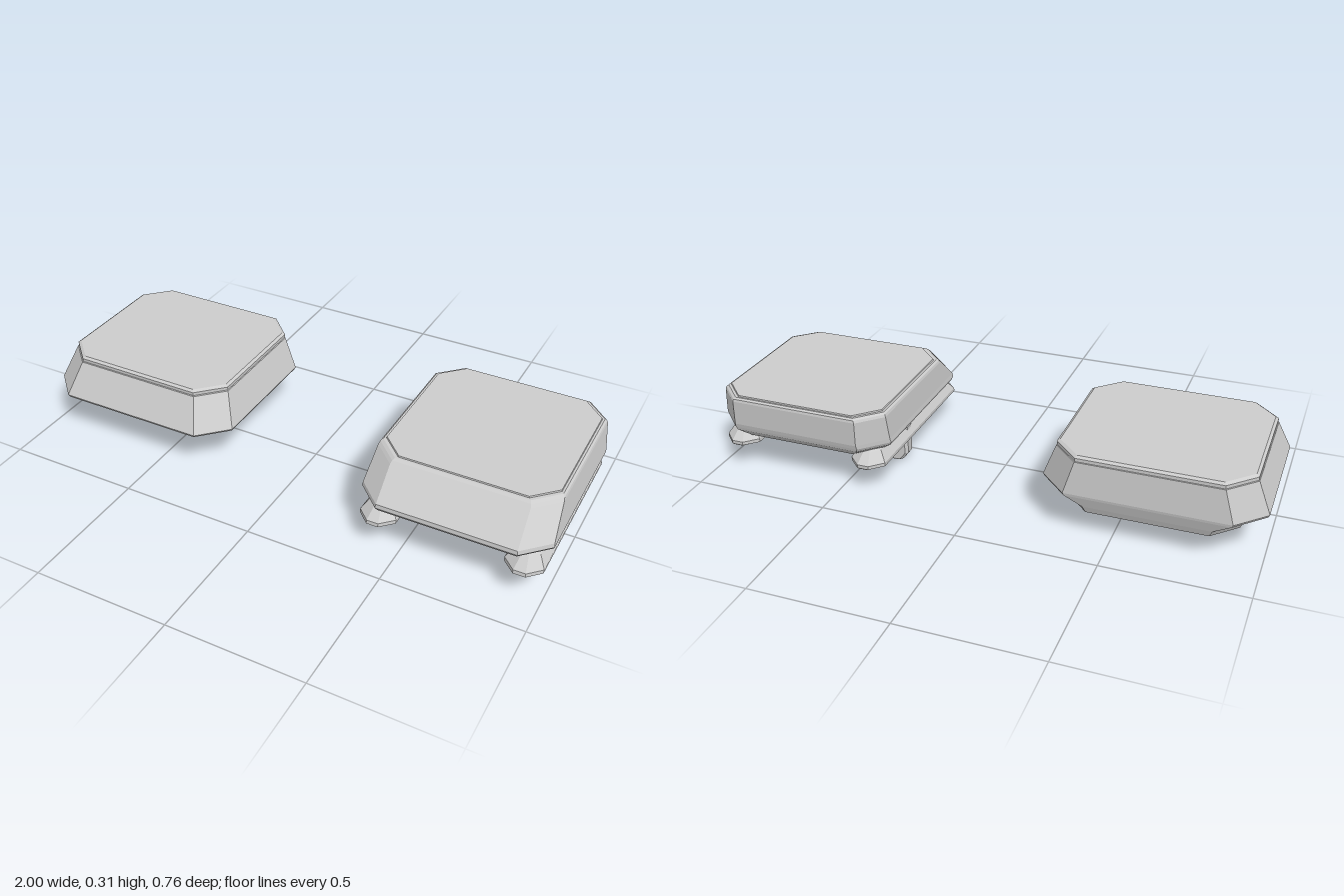
import * as THREE from 'three';

// Stacks chamfered-rectangle rings, listed bottom to top: [y, x0, x1, z0, z1, chamfer]
function loft(rings) {
  const pos = [];
  const pts = rings.map(([y, x0, x1, z0, z1, c]) => [
    [x1, z1 - c], [x1, z0 + c], [x1 - c, z0], [x0 + c, z0],
    [x0, z0 + c], [x0, z1 - c], [x0 + c, z1], [x1 - c, z1],
  ].map(([x, z]) => [x, y, z]));
  const tri = (a, b, c) => pos.push(...a, ...b, ...c);
  const last = rings.length - 1;
  const mid = (k) => [(rings[k][1] + rings[k][2]) / 2, rings[k][0], (rings[k][3] + rings[k][4]) / 2];
  for (let i = 0; i < 8; i++) {
    const j = (i + 1) % 8;
    for (let k = 0; k < last; k++) {
      tri(pts[k][i], pts[k][j], pts[k + 1][j]);
      tri(pts[k][i], pts[k + 1][j], pts[k + 1][i]);
    }
    tri(mid(0), pts[0][j], pts[0][i]);
    tri(mid(last), pts[last][i], pts[last][j]);
  }
  const g = new THREE.BufferGeometry();
  g.setAttribute('position', new THREE.Float32BufferAttribute(pos, 3));
  g.computeVertexNormals();
  return g;
}

export function createModel() {
  const model = new THREE.Group();
  const grey = new THREE.MeshStandardMaterial({ color: 0xcccccc });
  grey.name = 'light grey';
  const add = (parent, name, rings) => {
    const m = new THREE.Mesh(loft(rings), grey);
    m.name = name;
    parent.add(m);
  };

  // Plain pad: flared body, bevelled cap and a slim fin below
  const plain = new THREE.Group();
  plain.name = 'plainPad';
  model.add(plain);
  add(plain, 'plainBody', [
    [0.092, -0.91, -0.325, -0.345, 0.22, 0.085],
    [0.117, -0.92, -0.315, -0.355, 0.23, 0.085],
    [0.155, -0.995, -0.24, -0.368, 0.3, 0.1],
    [0.165, -1, -0.235, -0.37, 0.305, 0.1],
    [0.285, -0.955, -0.28, -0.362, 0.24, 0.09],
    [0.29, -0.94, -0.295, -0.35, 0.225, 0.085],
  ]);
  add(plain, 'plainCap', [
    [0.288, -0.953, -0.282, -0.362, 0.238, 0.09],
    [0.3, -0.953, -0.282, -0.362, 0.238, 0.09],
    [0.307, -0.943, -0.292, -0.352, 0.228, 0.085],
  ]);
  add(plain, 'plainFin', [
    [0.026, -0.8, -0.438, -0.083, -0.049, 0.008],
    [0.035, -0.815, -0.423, -0.088, -0.043, 0.012],
    [0.06, -0.835, -0.403, -0.088, -0.043, 0.012],
    [0.1, -0.835, -0.403, -0.088, -0.043, 0.012],
  ]);

  // Railed pad: sloped-front body, cap, two side rails and a cross bar
  const railed = new THREE.Group();
  railed.name = 'railedPad';
  model.add(railed);
  add(railed, 'railedBody', [
    [0.133, 0.385, 0.945, -0.33, 0.31, 0.075],
    [0.15, 0.36, 0.97, -0.348, 0.335, 0.08],
    [0.168, 0.335, 0.995, -0.366, 0.372, 0.09],
    [0.18, 0.33, 1, -0.37, 0.38, 0.09],
    [0.195, 0.332, 0.998, -0.374, 0.378, 0.09],
    [0.288, 0.338, 0.985, -0.379, 0.272, 0.082],
    [0.297, 0.341, 0.982, -0.377, 0.262, 0.082],
    [0.303, 0.348, 0.975, -0.37, 0.252, 0.08],
  ]);
  add(railed, 'railedCap', [
    [0.3, 0.355, 0.968, -0.365, 0.244, 0.08],
    [0.308, 0.357, 0.966, -0.363, 0.242, 0.08],
  ]);
  for (const side of [-1, 1]) {
    const x = 0.665 + side * 0.256;
    const ring = (y, w, z0, z1, c) => [y, x - w, x + w, z0, z1, c];
    add(railed, side < 0 ? 'rightRail' : 'leftRail', [
      ring(0.091, 0.058, -0.35, 0.366, 0.045),
      ring(0.097, 0.066, -0.357, 0.374, 0.045),
      ring(0.11, 0.066, -0.357, 0.372, 0.045),
      ring(0.147, 0.042, -0.32, 0.332, 0.03),
      ring(0.155, 0.03, -0.31, 0.322, 0.02),
    ]);
  }
  add(railed, 'crossBar', [
    [0, 0.385, 0.935, -0.1, -0.053, 0.008],
    [0.006, 0.375, 0.945, -0.103, -0.05, 0.01],
    [0.033, 0.355, 0.965, -0.103, -0.05, 0.01],
    [0.14, 0.355, 0.965, -0.103, -0.05, 0.01],
  ]);
  return model;
}
